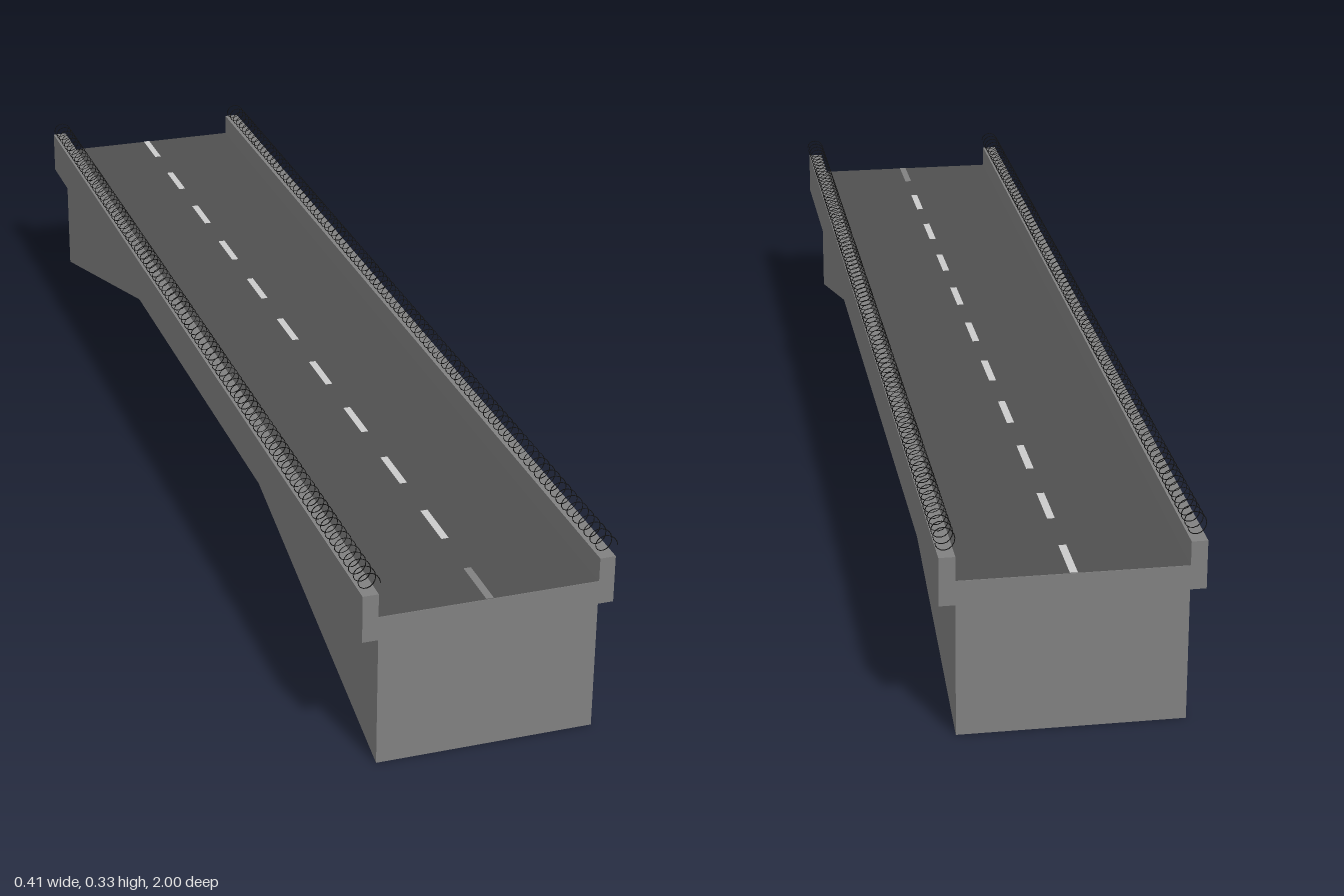
import * as THREE from 'three';

const HALF = 1;            // half length of the bridge
const BODY = 0.175;        // half width of the deck
const EDGE = 0.2;          // outer face of the parapets
const ROAD = 0.254;        // road height
const SOFFIT = 0.215;      // underside of the flat middle span

const paint = (color) => new THREE.MeshStandardMaterial({ color, roughness: 0.9 });

function addMesh(parent, name, geometry, material) {
  const mesh = new THREE.Mesh(geometry, material);
  mesh.name = name;
  parent.add(mesh);
  return mesh;
}

// Barbed wire: a helix running along z
class Coil extends THREE.Curve {
  constructor(radius, turns, start, end) {
    super();
    Object.assign(this, { radius, turns, start, end });
  }
  getPoint(t, target = new THREE.Vector3()) {
    const a = t * this.turns * Math.PI * 2;
    return target.set(
      Math.cos(a) * this.radius,
      Math.sin(a) * this.radius,
      THREE.MathUtils.lerp(this.start, this.end, t)
    );
  }
}

export function createModel() {
  const bridge = new THREE.Group();
  bridge.name = 'bridge';
  const concrete = paint(0x808080);
  const asphalt = paint(0x505050);
  const white = paint(0xcccccc);
  const worn = paint(0x808080);
  const black = paint(0x111111);

  // Deck with wedge abutments: side profile drawn in (z, y), extruded across x
  const profile = new THREE.Shape([
    [-HALF, 0], [-0.23, SOFFIT], [0.23, SOFFIT], [HALF, 0], [HALF, ROAD], [-HALF, ROAD],
  ].map(([z, y]) => new THREE.Vector2(z, y)));
  const deck = new THREE.ExtrudeGeometry(profile, { depth: BODY * 2, bevelEnabled: false });
  deck.translate(0, 0, -BODY).rotateY(-Math.PI / 2);
  addMesh(bridge, 'deck', deck, concrete);

  // Road surface
  const road = new THREE.PlaneGeometry(BODY * 2, HALF * 2).rotateX(-Math.PI / 2);
  addMesh(bridge, 'roadSurface', road, asphalt).position.y = ROAD + 0.0006;

  // Dashed centre line, the front dash worn
  const pitch = 2 / 10.5;
  const dash = new THREE.PlaneGeometry(0.012, pitch / 2).rotateX(-Math.PI / 2);
  for (let i = 0; i < 11; i++) {
    const mark = addMesh(bridge, 'laneDash', dash, i === 10 ? worn : white);
    mark.position.set(0, ROAD + 0.0014, -HALF + pitch * (i + 0.25));
  }

  // Parapets with a wire coil along the top of each
  const parapetTop = 0.293;
  const parapet = new THREE.BoxGeometry(EDGE - BODY, parapetTop - SOFFIT, HALF * 2);
  const wire = new THREE.TubeGeometry(new Coil(0.0155, 90, HALF - 0.002, -0.985), 90 * 16, 0.0007, 4);
  for (const [side, label] of [[1, 'left'], [-1, 'right']]) {
    const x = side * (EDGE + BODY) / 2;
    addMesh(bridge, label + 'Parapet', parapet, concrete)
      .position.set(x, (parapetTop + SOFFIT) / 2, 0);
    addMesh(bridge, label + 'WireCoil', wire, black).position.set(x, 0.311, 0);
  }

  return bridge;
}
